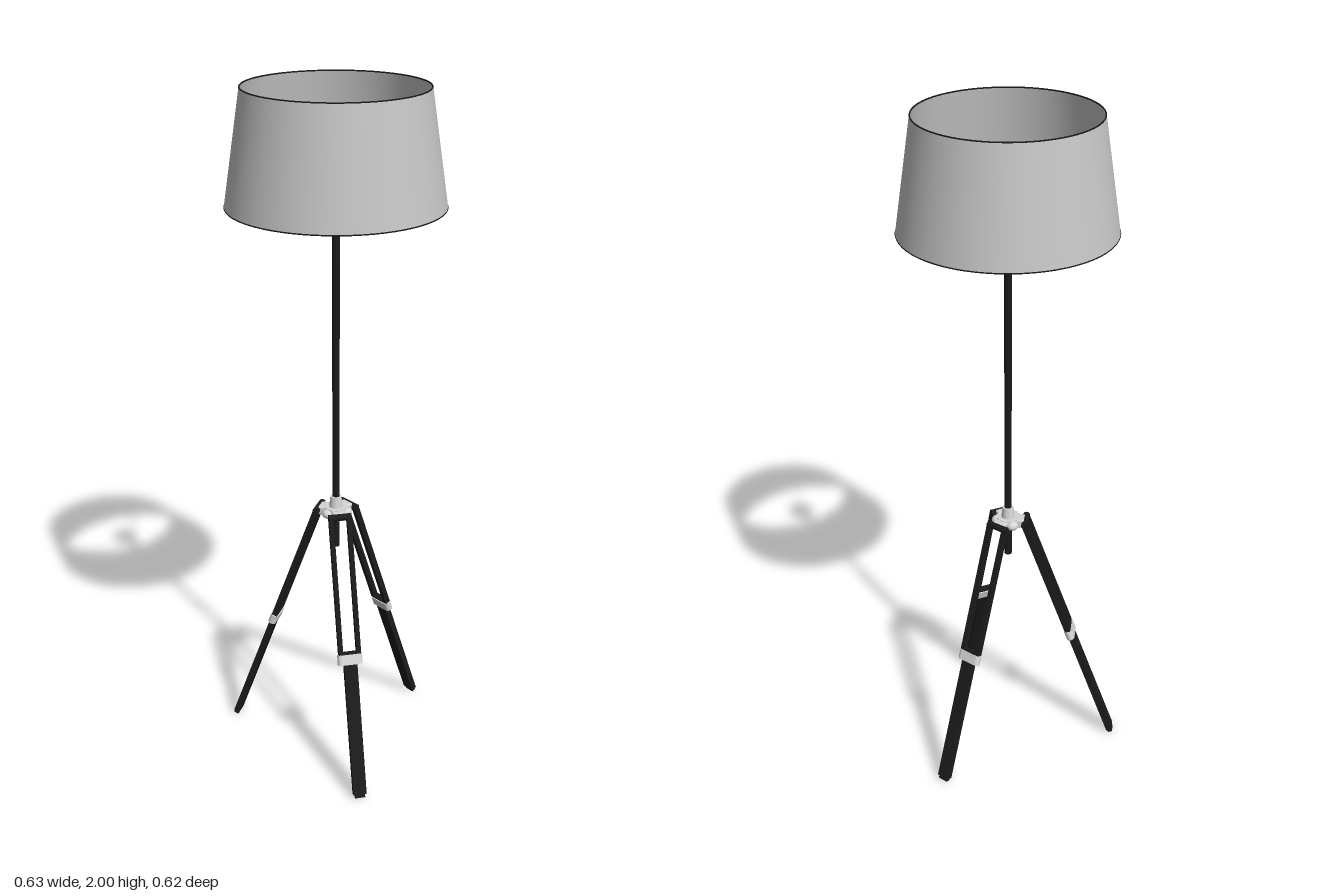
import * as THREE from 'three';
import { RoundedBoxGeometry } from 'three/addons/geometries/RoundedBoxGeometry.js';

const black = new THREE.MeshStandardMaterial({ color: 0x1b1b1b });
black.name = 'black';
const metal = new THREE.MeshStandardMaterial({ color: 0xd6d6d6 });
metal.name = 'light metal';
const fabric = new THREE.MeshStandardMaterial({ color: 0xc6c6c6, side: THREE.DoubleSide });
fabric.name = 'grey shade';

function add(parent, name, geometry, material, x = 0, y = 0, z = 0) {
  const mesh = new THREE.Mesh(geometry, material);
  mesh.name = name;
  mesh.position.set(x, y, z);
  parent.add(mesh);
  return mesh;
}

// Straight round rod between two points
function rod(parent, name, a, b, radius) {
  const mesh = add(parent, name, new THREE.CylinderGeometry(radius, radius, a.distanceTo(b), 8), black);
  mesh.position.copy(a).add(b).multiplyScalar(0.5);
  mesh.quaternion.setFromUnitVectors(new THREE.Vector3(0, 1, 0), b.clone().sub(a).normalize());
}

// Rounded clamp band, its long side along z and its height along y
function clampGeometry(width, depth, height) {
  const r = depth / 2, c = width / 2 - r;
  const s = new THREE.Shape();
  s.absarc(c, 0, r, -Math.PI / 2, Math.PI / 2);
  s.absarc(-c, 0, r, Math.PI / 2, Math.PI * 1.5);
  const g = new THREE.ExtrudeGeometry(s, { depth: height, bevelEnabled: false, curveSegments: 10 });
  return g.translate(0, 0, -height / 2).rotateX(-Math.PI / 2).rotateY(Math.PI / 2);
}

// One leg, spreading towards local +x
function createLeg(angle) {
  const leg = new THREE.Group();
  leg.name = 'leg';
  leg.rotation.y = -angle;

  // Lug and rounded knob of the hub
  add(leg, 'hubLug', new RoundedBoxGeometry(0.048, 0.026, 0.04, 2, 0.005), metal, 0.026, 0.786, 0);
  const knob = add(leg, 'hubKnob', new THREE.SphereGeometry(0.018, 16, 10), metal, -0.031, 0.785, 0);
  knob.scale.set(1, 0.8, 1);

  const tilted = new THREE.Group();
  tilted.name = 'tiltedLeg';
  tilted.position.set(0.052, 0.788, 0);
  tilted.rotation.z = Math.atan2(0.28, 0.78);
  leg.add(tilted);

  const axle = add(tilted, 'axle', new THREE.CylinderGeometry(0.01, 0.01, 0.066, 14), black);
  axle.rotation.x = Math.PI / 2;
  for (const side of [-1, 1]) {
    add(tilted, 'upperRail', new THREE.BoxGeometry(0.017, 0.415, 0.013), black, 0, -0.2075, side * 0.0265);
  }
  add(tilted, 'clamp', clampGeometry(0.074, 0.024, 0.03), metal, 0, -0.416, 0);
  add(tilted, 'lowerLeg', new THREE.BoxGeometry(0.018, 0.425, 0.039), black, 0, -0.6075, 0);
  add(tilted, 'foot', new THREE.BoxGeometry(0.014, 0.013, 0.03), black, 0, -0.8235, 0);
  return leg;
}

export function createModel() {
  const model = new THREE.Group();
  model.name = 'tripodFloorLamp';
  const lamp = new THREE.Group();
  lamp.name = 'lamp';
  lamp.position.set(-0.022, 0, 0.012);
  model.add(lamp);

  // Three legs with their hub
  for (let i = 0; i < 3; i++) {
    lamp.add(createLeg(THREE.MathUtils.degToRad(10 + 120 * i)));
  }
  add(lamp, 'hub', new THREE.CylinderGeometry(0.034, 0.03, 0.03, 24), metal, 0, 0.785, 0);
  add(lamp, 'hubCollar', new THREE.CylinderGeometry(0.016, 0.02, 0.035, 20), metal, 0, 0.815, 0);

  // Pole
  add(lamp, 'pole', new THREE.CylinderGeometry(0.0105, 0.0105, 1.0, 16), black, 0, 1.26, 0);
  add(lamp, 'poleEnd', new THREE.CylinderGeometry(0.011, 0.011, 0.12, 16), black, 0, 0.73, 0);
  add(lamp, 'socket', new THREE.CylinderGeometry(0.015, 0.015, 0.025, 16), black, 0, 1.755, 0);

  // Bulb
  const bulb = [[0.014, 1.765], [0.019, 1.78], [0.032, 1.8], [0.041, 1.815], [0.044, 1.83],
    [0.042, 1.845], [0.034, 1.86], [0.02, 1.87], [0, 1.874]].map(([x, y]) => new THREE.Vector2(x, y));
  add(lamp, 'bulb', new THREE.LatheGeometry(bulb, 28), metal);

  // Shade with dark rims
  const bottom = 0.295, top = 0.247;
  add(lamp, 'shade', new THREE.CylinderGeometry(top, bottom, 0.31, 64, 1, true), fabric, 0, 1.843, 0);
  for (const [name, radius, y] of [['topRim', top, 1.998], ['bottomRim', bottom, 1.689]]) {
    const rim = add(lamp, name, new THREE.TorusGeometry(radius - 0.001, 0.002, 6, 64), black, 0, y, 0);
    rim.rotation.x = Math.PI / 2;
  }

  // Four spokes from the pole down to the lower rim
  for (let i = 0; i < 4; i++) {
    const a = THREE.MathUtils.degToRad(40 + 90 * i);
    rod(lamp, 'shadeSpoke', new THREE.Vector3(0, 1.755, 0),
      new THREE.Vector3(Math.cos(a) * 0.293, 1.692, Math.sin(a) * 0.293), 0.0025);
  }
  return model;
}
